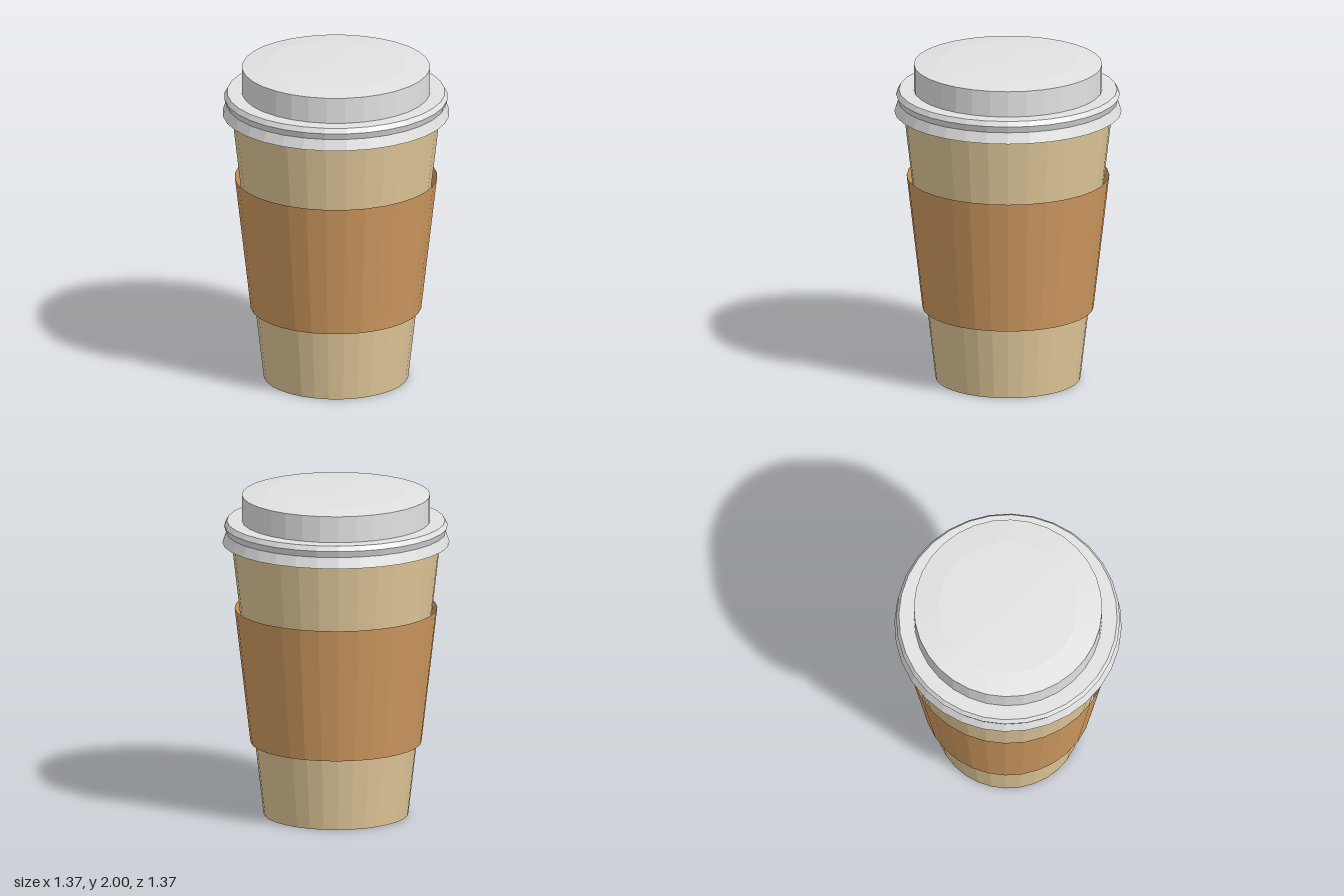
import * as THREE from 'three';

const SIDES = 32;

// Faceted surface of revolution; profile is [radius, y] running upward on the outside
function turned(name, profile, material) {
  const points = profile.map(([r, y]) => new THREE.Vector2(r, y));
  const geometry = new THREE.LatheGeometry(points, SIDES).toNonIndexed();
  geometry.computeVertexNormals();
  const mesh = new THREE.Mesh(geometry, material);
  mesh.name = name;
  return mesh;
}

function paint(name, color, options = {}) {
  const material = new THREE.MeshStandardMaterial({ color, ...options });
  material.name = name;
  return material;
}

export function createModel() {
  const paper = paint('paper tan', 0xe2c99a);
  const cardboard = paint('cardboard brown', 0xd09a60, { side: THREE.DoubleSide });
  const plastic = paint('lid grey', 0xe2e2e2);

  const group = new THREE.Group();
  group.name = 'takeawayCup';

  // Tapered cup with a closed base
  group.add(turned('cup', [[0, 0], [0.437, 0], [0.63, 1.69]], paper));

  // Thin open sleeve standing slightly off the cup
  group.add(turned('sleeve', [[0.516, 0.445], [0.611, 1.275]], cardboard));

  // Lid: underside, flared skirt, rolled bead, ledge, raised wall and shallow dome
  group.add(turned('lid', [
    [0.6, 1.68], [0.685, 1.68], [0.662, 1.745], [0.675, 1.785], [0.658, 1.815],
    [0.568, 1.815], [0.568, 1.975], [0.42, 1.99], [0, 2],
  ], plastic));

  return group;
}
